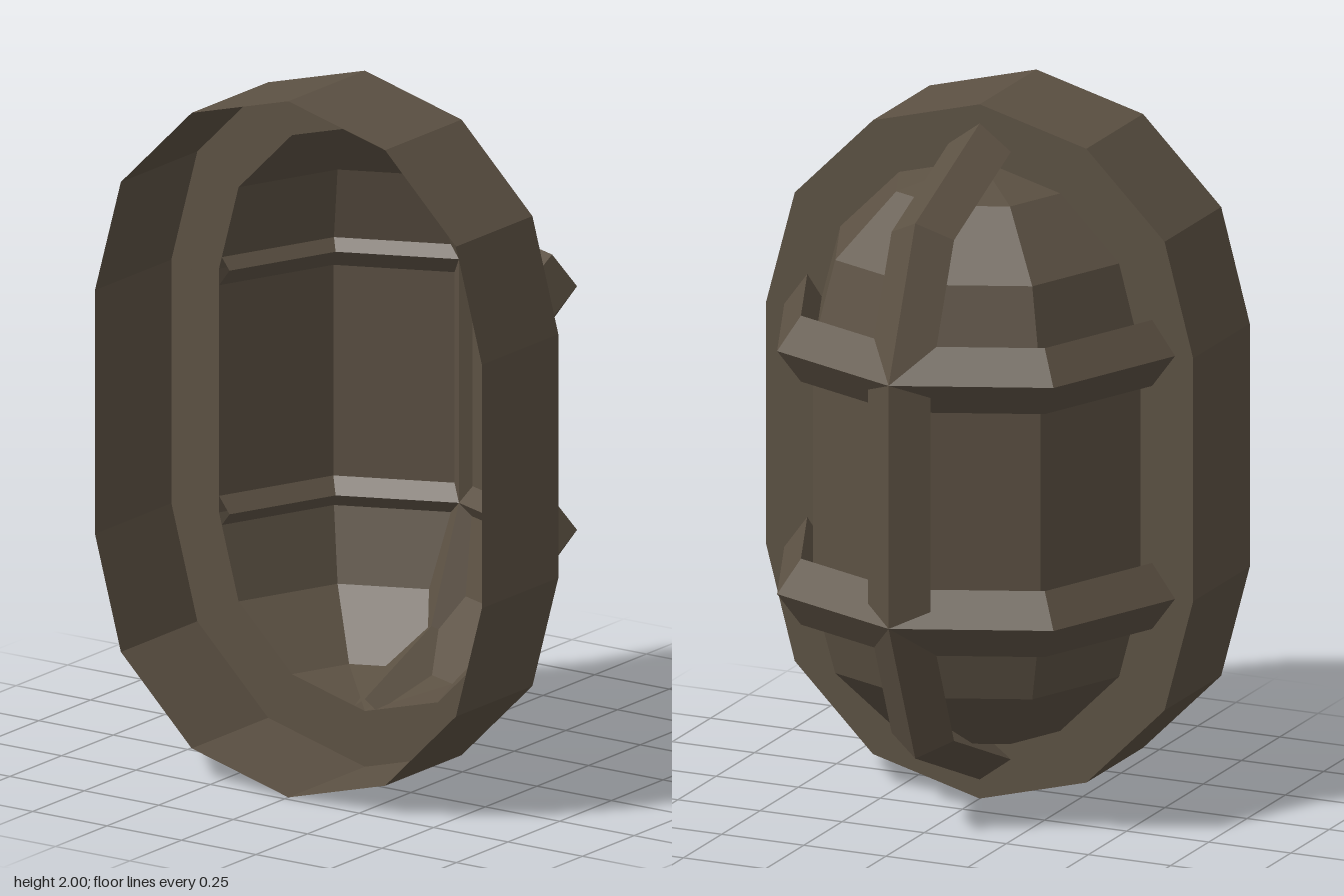
import * as THREE from 'three';

const Z0 = 0.1125;          // plane where the canopy meets the collar
const FRONT = 0.4825;       // front rim of the collar
const TOP = 1.35, LOW = 0.65; // centres of the two round ends

const brown = new THREE.MeshStandardMaterial({ color: 0x5c5143, flatShading: true, side: THREE.DoubleSide });
brown.name = 'dark brown';

// Skin a list of equally long point rows; closed joins the end of each row to its start
function skin(name, rows, closed) {
  const n = rows[0].length, pos = rows.flat(2), idx = [];
  for (let i = 0; i < rows.length - 1; i++) {
    for (let j = 0; j < (closed ? n : n - 1); j++) {
      const k = (j + 1) % n;
      const a = i * n + j, b = i * n + k, c = a + n, d = b + n;
      idx.push(a, b, d, a, d, c);
    }
  }
  const g = new THREE.BufferGeometry();
  g.setAttribute('position', new THREE.Float32BufferAttribute(pos, 3));
  g.setIndex(idx);
  const flat = g.toNonIndexed();
  flat.computeVertexNormals();
  const mesh = new THREE.Mesh(flat, brown);
  mesh.name = name;
  return mesh;
}

// Stadium outline with 30 degree steps
function outline(r, z) {
  const pts = [];
  for (let i = 0; i <= 6; i++) {
    const a = i * Math.PI / 6;
    pts.push([r * Math.cos(a), TOP + r * Math.sin(a), z]);
  }
  for (let i = 6; i <= 12; i++) {
    const a = i * Math.PI / 6;
    pts.push([r * Math.cos(a), LOW + r * Math.sin(a), z]);
  }
  return pts;
}

const RIB = { r: 0.525, depth: 0.07, half: 0.095 };

// Level rib: diamond section around a half octagon
function levelRib(name, y) {
  const rows = [];
  for (let i = 0; i <= 4; i++) {
    const a = i * Math.PI / 4;
    const at = (r, dy) => [r * Math.cos(a), y + dy, Z0 - r * Math.sin(a)];
    rows.push([at(RIB.r + RIB.depth, 0), at(RIB.r, RIB.half), at(RIB.r - RIB.depth, 0), at(RIB.r, -RIB.half)]);
  }
  return skin(name, rows, true);
}

// Upright rib: same section over both round ends and the straight back
function spineRib() {
  const rows = [];
  for (const [cy, steps] of [[TOP, [2, 1, 0]], [LOW, [0, -1, -2]]]) {
    for (const s of steps) {
      const a = s * Math.PI / 4;
      const at = (r, x) => [x, cy + r * Math.sin(a), Z0 - r * Math.cos(a)];
      rows.push([at(RIB.r + RIB.depth, 0), at(RIB.r, RIB.half), at(RIB.r - RIB.depth, 0), at(RIB.r, -RIB.half)]);
    }
  }
  return skin('spineRib', rows, true);
}

export function createModel() {
  const model = new THREE.Group();
  model.name = 'pod';

  // Open collar: thin outer wall and the flat flange at its back
  model.add(skin('collarWall', [outline(0.65, FRONT), outline(0.65, Z0)], true));
  model.add(skin('collarFlange', [outline(0.65, Z0), outline(0.49, Z0)], true));

  // Hollow half-capsule canopy
  const profile = [];
  for (let i = -3; i <= 0; i++) {
    const a = i * Math.PI / 6;
    profile.push(new THREE.Vector2(Math.max(0, 0.49 * Math.cos(a)), LOW + 0.49 * Math.sin(a)));
  }
  for (let i = 0; i <= 3; i++) {
    const a = i * Math.PI / 6;
    profile.push(new THREE.Vector2(Math.max(0, 0.49 * Math.cos(a)), TOP + 0.49 * Math.sin(a)));
  }
  const canopy = new THREE.Mesh(new THREE.LatheGeometry(profile, 4, Math.PI / 2, Math.PI), brown);
  canopy.name = 'canopy';
  canopy.position.z = Z0;
  model.add(canopy);

  // Frame ribs
  model.add(levelRib('upperRib', TOP), levelRib('lowerRib', LOW), spineRib());

  return model;
}
